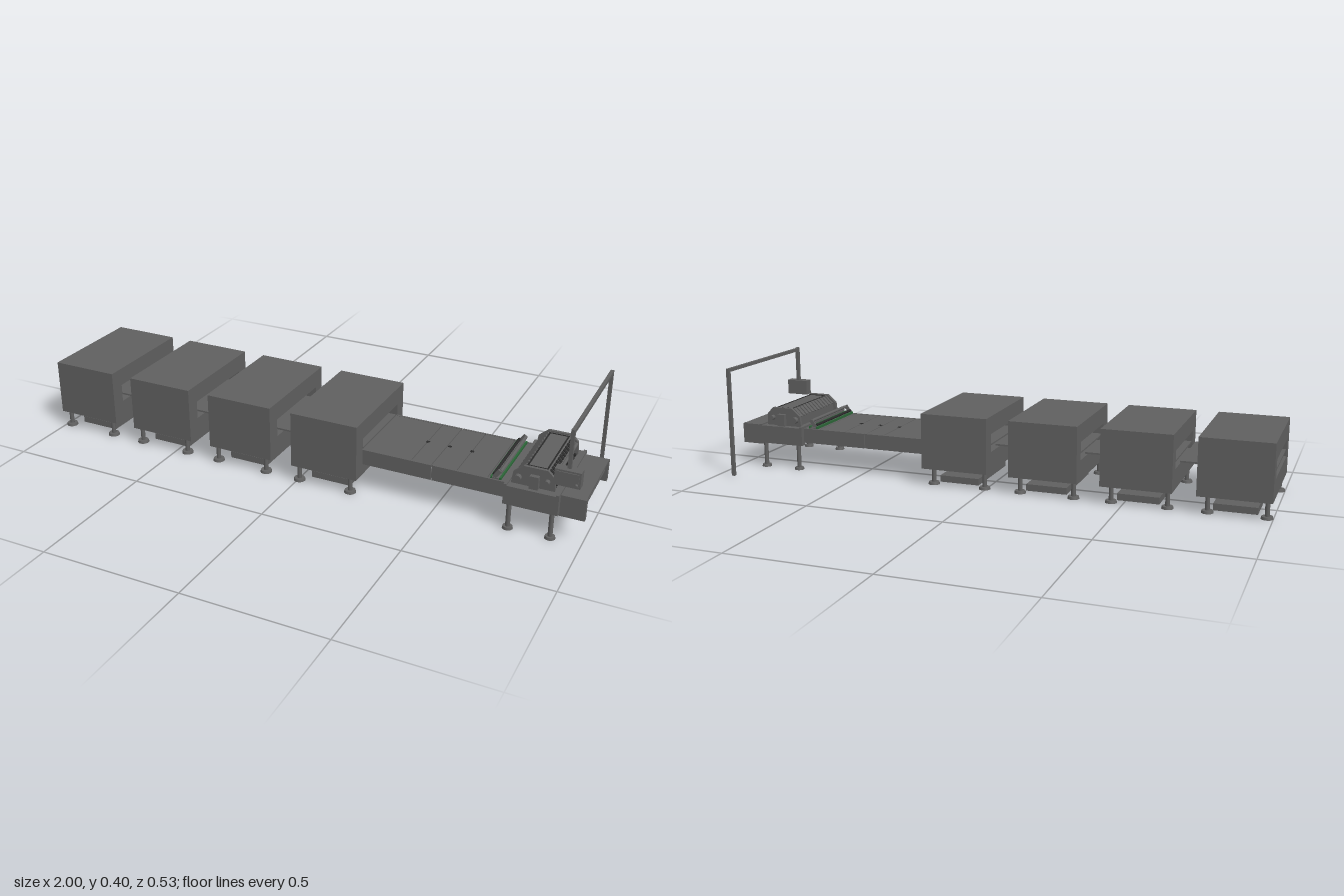
import * as THREE from 'three';

const steel = new THREE.MeshStandardMaterial({ color: 0x606060 });
steel.name = 'steel grey';
const dark = new THREE.MeshStandardMaterial({ color: 0x2a2a2a });
dark.name = 'dark slot';
const green = new THREE.MeshStandardMaterial({ color: 0x2c6638 });
green.name = 'green strip';

function add(parent, name, geometry, material = steel) {
  const mesh = new THREE.Mesh(geometry, material);
  mesh.name = name;
  parent.add(mesh);
  return mesh;
}

// Box given by its limits on each axis
function block(parent, name, [x0, x1], [y0, y1], [z0, z1], material) {
  const mesh = add(parent, name, new THREE.BoxGeometry(x1 - x0, y1 - y0, z1 - z0), material);
  mesh.position.set((x0 + x1) / 2, (y0 + y1) / 2, (z0 + z1) / 2);
  return mesh;
}

// Cylinder lying across the line, along z
function bar(parent, name, x, y, z0, z1, r, material) {
  const mesh = add(parent, name, new THREE.CylinderGeometry(r, r, z1 - z0, 20), material);
  mesh.rotation.x = Math.PI / 2;
  mesh.position.set(x, y, (z0 + z1) / 2);
  return mesh;
}

// Round leg standing on a stepped foot
function leg(parent, x, z, top, r, footR) {
  const group = new THREE.Group();
  group.name = 'leg';
  group.position.set(x, 0, z);
  const post = add(group, 'legPost', new THREE.CylinderGeometry(r, r, top, 16));
  post.position.y = top / 2;
  const foot = add(group, 'foot', new THREE.CylinderGeometry(footR * 0.9, footR, 0.009, 20));
  foot.position.y = 0.0045;
  parent.add(group);
}

// Flat outline in x and y, extruded along z
function profile(points, z0, z1) {
  const shape = new THREE.Shape(points.map(p => new THREE.Vector2(...p)));
  return new THREE.ExtrudeGeometry(shape, { depth: z1 - z0, bevelEnabled: false }).translate(0, 0, z0);
}

// Tunnel cabinet with a slot right through, a belt, legs and a tray below
function cabinet(x, last) {
  const group = new THREE.Group();
  group.name = 'cabinet';
  group.position.x = x;
  const rect = (s, a, b, c, d) => s.moveTo(a, c).lineTo(b, c).lineTo(b, d).lineTo(a, d).closePath();
  const shape = rect(new THREE.Shape(), -0.262, 0.139, 0.063, 0.264);
  shape.holes.push(rect(new THREE.Path(), -0.21, 0.09, 0.135, 0.2));
  const shell = new THREE.ExtrudeGeometry(shape, { depth: 0.248, bevelEnabled: false });
  add(group, 'cabinetShell', shell.rotateY(Math.PI / 2));
  block(group, 'belt', [0.002, last ? 0.246 : 0.316], [0.157, 0.163], [-0.08, 0.2]);
  for (const lx of [0.02, 0.215]) for (const lz of [0.237, -0.102]) leg(group, lx, lz, 0.064, 0.008, 0.021);
  // Tray, hollow from below
  block(group, 'trayTop', [0.052, 0.2], [0.023, 0.027], [-0.08, 0.205]);
  for (const tx of [0.052, 0.194]) block(group, 'trayEnd', [tx, tx + 0.006], [0.003, 0.024], [-0.08, 0.205]);
  for (const tz of [-0.08, 0.199]) block(group, 'traySide', [0.052, 0.2], [0.003, 0.024], [tz, tz + 0.006]);
  return group;
}

function conveyor() {
  const group = new THREE.Group();
  group.name = 'conveyor';
  const joints = [0.23, 0.41, 0.482, 0.57, 0.675, 0.745];
  for (let i = 0; i < joints.length - 1; i++)
    block(group, 'bedPanel', [joints[i], joints[i + 1] - 0.003], [0.15, 0.157], [-0.085, 0.205]);
  for (const [a, b] of [[0.23, 0.481], [0.485, 0.745]])
    for (const z of [-0.091, 0.203]) block(group, 'sideRail', [a, b], [0.103, 0.158], [z, z + 0.008]);
  for (const x of [0.32, 0.475, 0.61]) block(group, 'crossMember', [x, x + 0.016], [0.112, 0.132], [-0.085, 0.205]);
  for (const x of [0.41, 0.49, 0.57]) block(group, 'bedCatch', [x - 0.006, x + 0.006], [0.155, 0.1585], [0.052, 0.062], dark);
  // Outfeed end with its roller
  block(group, 'outfeedBed', [0.915, 0.998], [0.15, 0.158], [-0.085, 0.205]);
  for (const z of [-0.091, 0.195]) block(group, 'outfeedSide', [0.915, 1], [0.083, 0.158], [z, z + 0.018]);
  bar(group, 'outfeedRoller', 0.975, 0.121, -0.073, 0.195, 0.016);
  return group;
}

function scanner() {
  const group = new THREE.Group();
  group.name = 'scanner';
  // Two green strips with a guide rod between them
  for (const x of [0.683, 0.713]) block(group, 'greenStrip', [x, x + 0.006], [0.157, 0.166], [-0.082, 0.205], green);
  block(group, 'scannerBed', [0.689, 0.713], [0.157, 0.163], [-0.082, 0.205]);
  bar(group, 'scannerRod', 0.692, 0.171, -0.075, 0.198, 0.005, dark);
  bar(group, 'upperRod', 0.714, 0.184, -0.075, 0.198, 0.006);
  for (const z of [-0.078, 0.198]) {
    const arm = block(group, 'rodArm', [0.697, 0.711], [0.16, 0.192], [z, z + 0.005]);
    arm.rotation.z = -0.6;
  }
  return group;
}

function press() {
  const group = new THREE.Group();
  group.name = 'press';
  // Base frame
  for (const z of [-0.108, 0.213]) {
    block(group, 'baseSide', [0.737, 0.918], [0.093, 0.16], [z, z + 0.022]);
    for (const x of [0.757, 0.898]) leg(group, x, z + 0.009, 0.1, 0.008, 0.018);
  }
  block(group, 'baseTop', [0.737, 0.918], [0.152, 0.16], [-0.1, 0.225]);
  for (const x of [0.737, 0.908]) block(group, 'baseLip', [x, x + 0.01], [0.152, 0.165], [-0.108, 0.235]);
  for (const x of [0.765, 0.88]) block(group, 'baseBeam', [x, x + 0.016], [0.105, 0.125], [-0.09, 0.215]);

  // Hood with its end plates
  const hood = [[0.766, 0.16], [0.879, 0.16], [0.885, 0.18], [0.885, 0.205], [0.866, 0.224], [0.795, 0.224], [0.766, 0.195]];
  add(group, 'hood', profile(hood, -0.072, 0.195));
  const plate = [[0.752, 0.16], [0.896, 0.16], [0.893, 0.205], [0.87, 0.228], [0.79, 0.228], [0.757, 0.2]];
  for (const z of [-0.084, 0.195]) add(group, 'hoodEnd', profile(plate, z, z + 0.011));
  for (const z of [-0.1, 0.206]) {
    bar(group, 'hoodPivot', 0.775, 0.185, z, z + 0.016, 0.012);
    bar(group, 'hoodKnob', 0.87, 0.19, z, z + 0.016, 0.009);
    block(group, 'hoodBracket', [0.815, 0.845], [0.155, 0.205], [z, z + 0.016]);
  }

  // Dark border on the roof and louvres along both slopes
  for (const x of [0.796, 0.86]) block(group, 'roofSlot', [x, x + 0.005], [0.222, 0.2255], [-0.066, 0.19], dark);
  for (const z of [-0.066, 0.185]) block(group, 'roofSlot', [0.796, 0.865], [0.222, 0.2255], [z, z + 0.005], dark);
  for (let i = 0; i < 12; i++) {
    const z = -0.06 + i * 0.022;
    const louvre = block(group, 'louvre', [0.758, 0.8], [0.207, 0.213], [z - 0.004, z + 0.004]);
    louvre.rotation.z = Math.PI / 4;
    const slot = block(group, 'outfeedSlot', [0.867, 0.885], [0.2125, 0.2175], [z - 0.007, z + 0.007], dark);
    slot.rotation.z = -Math.PI / 4;
    block(group, 'feedTooth', [0.878, 0.893], [0.16, 0.167], [z - 0.005, z + 0.005], dark);
  }
  bar(group, 'outfeedRail', 0.888, 0.198, -0.075, 0.198, 0.006);
  return group;
}

// Overhead post and arm carrying the control box
function gantry() {
  const group = new THREE.Group();
  group.name = 'gantry';
  const x = [0.935, 0.947];
  block(group, 'floorPost', x, [0, 0.402], [-0.266, -0.254]);
  block(group, 'overheadArm', x, [0.39, 0.402], [-0.254, 0.228]);
  block(group, 'hangingPost', x, [0.265, 0.404], [0.227, 0.24]);
  block(group, 'controlBox', [0.9, 0.984], [0.215, 0.271], [0.222, 0.255]);
  block(group, 'controlPanel', [0.906, 0.978], [0.221, 0.265], [0.255, 0.258]);
  bar(group, 'controlKnob', 0.972, 0.229, 0.257, 0.268, 0.005);
  return group;
}

export function createModel() {
  const model = new THREE.Group();
  model.name = 'productionLine';
  for (let i = 0; i < 4; i++) model.add(cabinet(-1 + i * 0.3285, i === 3));
  model.add(conveyor(), scanner(), press(), gantry());
  return model;
}
